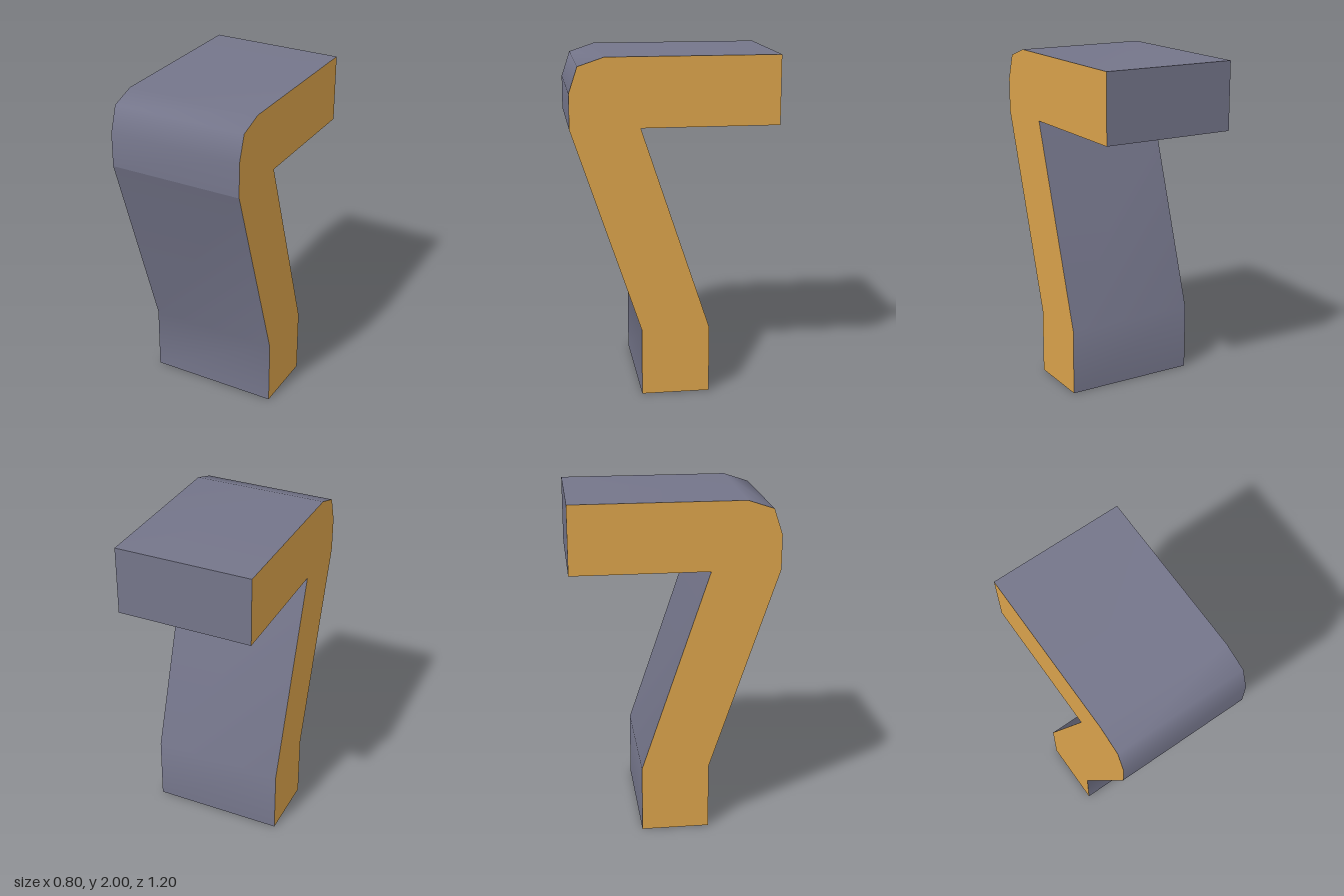
import * as THREE from 'three';

const HALF_WIDTH = 0.4;

// Outline runs as [z, y], split wherever the surface has a hard edge
const runs = {
  frontFace: [[0.2, 0], [0.2, 0.4], [0.6, 1.6]],
  roundedTop: [[0.6, 1.6], [0.6, 1.8], [0.55, 1.95], [0.4, 2], [-0.6, 2]],
  backEnd: [[-0.6, 2], [-0.6, 1.6]],
  overhangUnderside: [[-0.6, 1.6], [0.2, 1.6]],
  backFace: [[0.2, 1.6], [-0.2, 0.4], [-0.2, 0]],
  foot: [[-0.2, 0], [0.2, 0]],
};

// Band across the full width, smooth along its run
function band(points) {
  const positions = [], index = [];
  points.forEach(([z, y], i) => {
    positions.push(-HALF_WIDTH, y, z, HALF_WIDTH, y, z);
    if (i > 0) {
      const a = 2 * (i - 1);
      index.push(a, a + 1, a + 3, a, a + 3, a + 2);
    }
  });
  const geometry = new THREE.BufferGeometry();
  geometry.setAttribute('position', new THREE.Float32BufferAttribute(positions, 3));
  geometry.setIndex(index);
  geometry.computeVertexNormals();
  return geometry;
}

// Flat side panel, side = 1 for left (+x), -1 for right (-x)
function sidePanel(side) {
  const outline = Object.values(runs).flatMap((run) => run.slice(0, -1));
  const shape = new THREE.Shape(outline.map(([z, y]) => new THREE.Vector2(-side * z, y)));
  return new THREE.ShapeGeometry(shape)
    .rotateY(side * Math.PI / 2)
    .translate(side * HALF_WIDTH, 0, 0);
}

export function createModel() {
  const group = new THREE.Group();
  group.name = 'bentBracket';
  const slate = new THREE.MeshStandardMaterial({ color: 0x74758a });
  slate.name = 'slate';
  const ochre = new THREE.MeshStandardMaterial({ color: 0xd9a24b });
  ochre.name = 'ochre';

  const add = (name, geometry, material) => {
    const mesh = new THREE.Mesh(geometry, material);
    mesh.name = name;
    group.add(mesh);
  };

  for (const [name, points] of Object.entries(runs)) add(name, band(points), slate);
  add('leftSide', sidePanel(1), ochre);
  add('rightSide', sidePanel(-1), ochre);
  return group;
}
